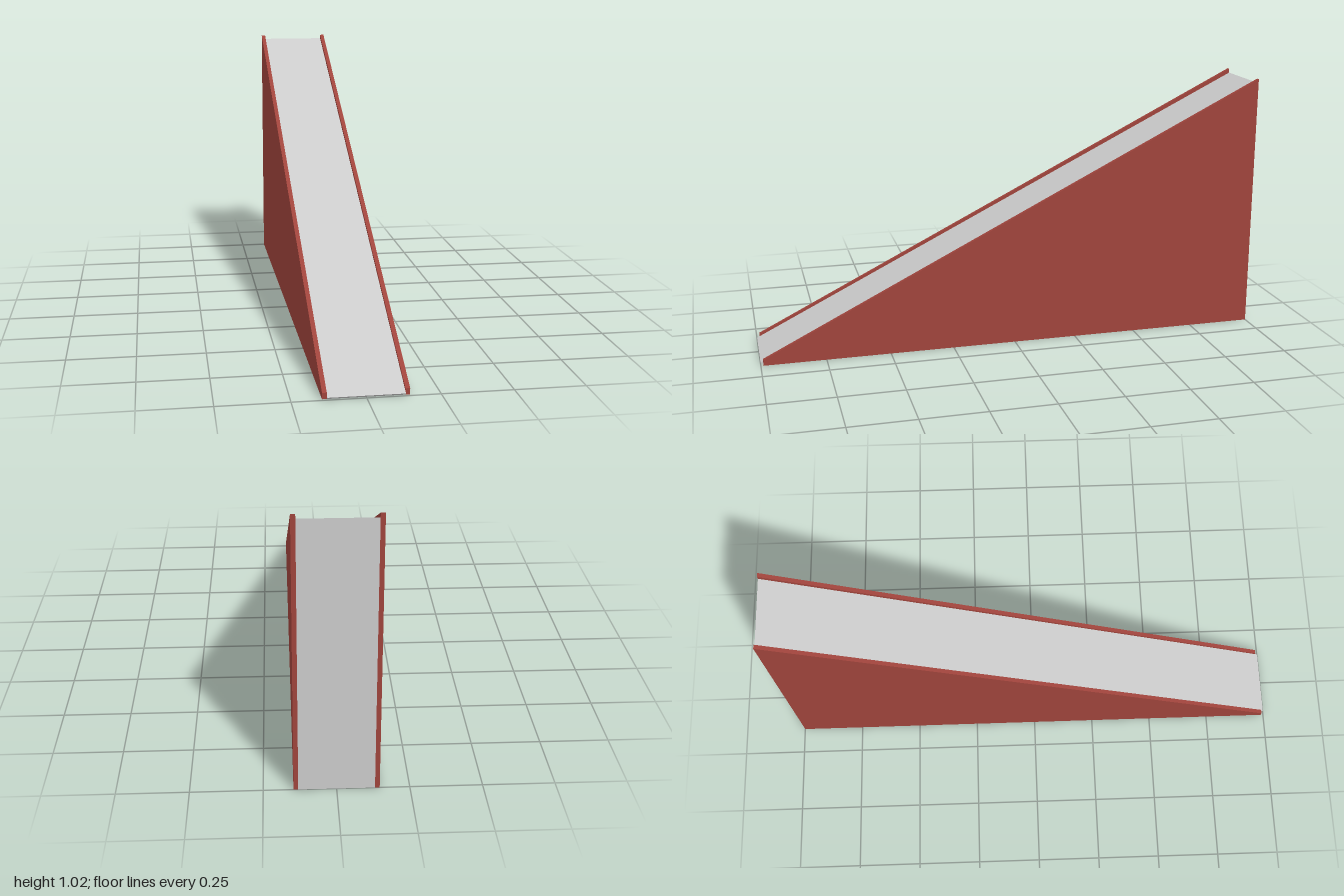
import * as THREE from 'three';

// Extrudes a side profile of [z, y] points across x, centred on x = cx
function slab(name, profile, width, cx, material) {
  const shape = new THREE.Shape(profile.map(([z, y]) => new THREE.Vector2(-z, y)));
  const geometry = new THREE.ExtrudeGeometry(shape, { depth: width, bevelEnabled: false });
  geometry.translate(0, 0, -width / 2);
  geometry.rotateY(Math.PI / 2); // profile runs along z, depth along x
  const mesh = new THREE.Mesh(geometry, material);
  mesh.name = name;
  mesh.position.x = cx;
  return mesh;
}

export function createModel() {
  const group = new THREE.Group();
  group.name = 'ramp';
  const grey = new THREE.MeshStandardMaterial({ color: 0xcccccc });
  const red = new THREE.MeshStandardMaterial({ color: 0xa0443c });

  // Solid wedge with an undercut front lip
  const wedge = [[0.99, 0], [1, 0.008], [-1, 1.002], [-1, 0]];
  group.add(slab('rampWedge', wedge, 0.262, 0, grey));

  // Side panels standing slightly proud of the slope
  const panel = [[0.99, 0], [0.99, 0.022], [-1, 1.018], [-1, 0]];
  for (const side of [1, -1]) {
    group.add(slab(side > 0 ? 'leftPanel' : 'rightPanel', panel, 0.016, side * 0.139, red));
  }
  return group;
}
